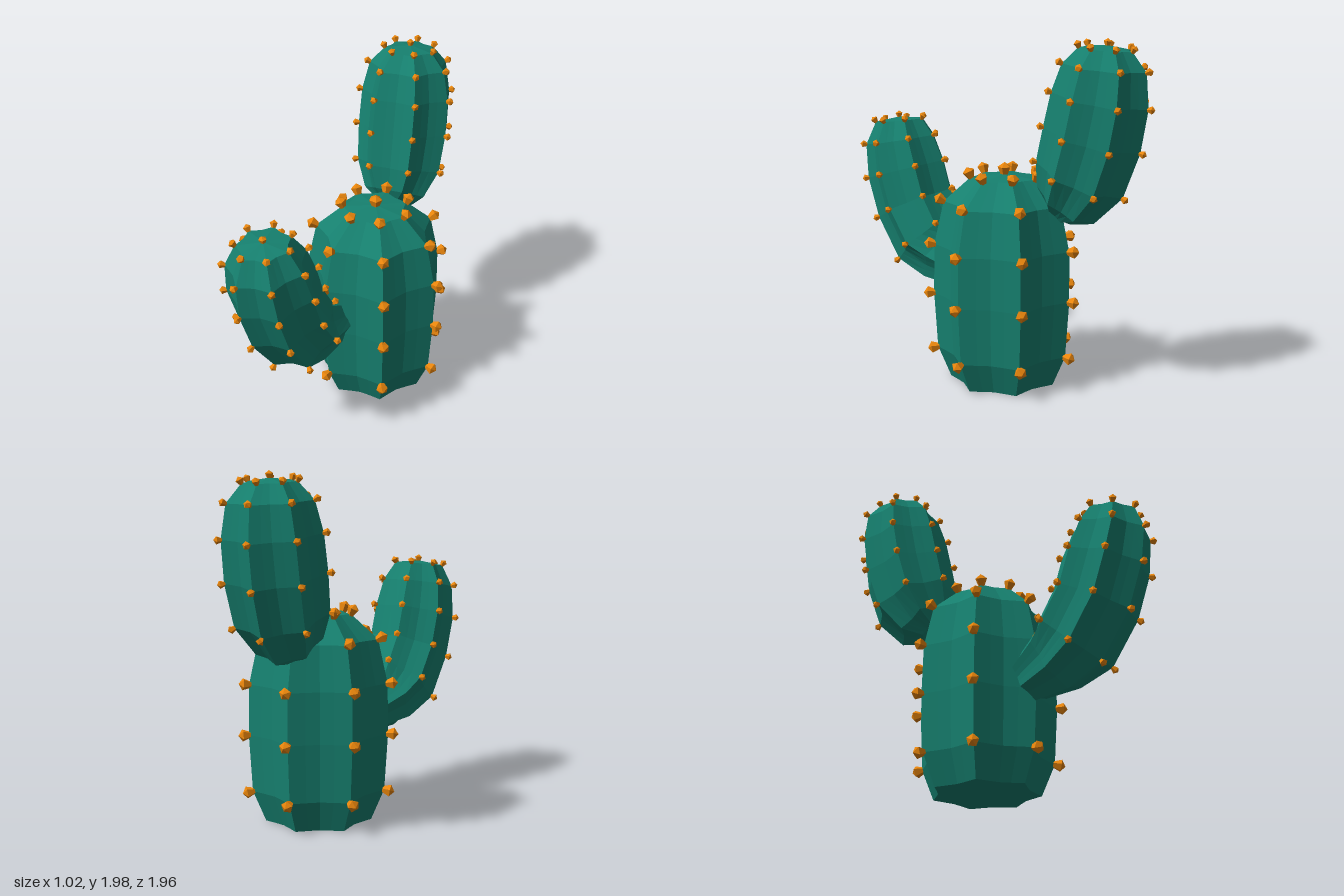
import * as THREE from 'three';
import { mergeGeometries } from 'three/addons/utils/BufferGeometryUtils.js';

const RIBS = 7, STEPS = 4, SIDES = RIBS * STEPS;
const green = new THREE.MeshStandardMaterial({ color: 0x16806f, flatShading: true });
const orange = new THREE.MeshStandardMaterial({ color: 0xe8850c, flatShading: true });

// Rings along a path: each row is [x, y, z, ridge radius]
function makeRings(rows, tip, turn) {
  const centres = rows.map(r => new THREE.Vector3(r[0], r[1], r[2]));
  const up = new THREE.Vector3(0, 1, 0);
  return rows.map((row, i) => {
    const before = centres[Math.max(i - 1, 0)];
    const after = centres[i + 1] ?? tip;
    const span = after.clone().sub(before);
    const axis = span.clone().normalize();
    const q = new THREE.Quaternion().setFromUnitVectors(up, axis);
    const grow = (rows[i + 1]?.[3] ?? 0) - rows[Math.max(i - 1, 0)][3];
    // outward direction in the plane of the ring
    const radial = step => {
      const a = -Math.PI / 2 + turn + (step / SIDES) * Math.PI * 2;
      return new THREE.Vector3(Math.cos(a), 0, Math.sin(a)).applyQuaternion(q);
    };
    return {
      point(step) {
        // sharp ridges with rounded grooves between them
        const groove = 1 - 0.17 * Math.sin(Math.PI * (step % STEPS) / STEPS);
        return radial(step).multiplyScalar(row[3] * groove).add(centres[i]);
      },
      normal: step => radial(step).multiplyScalar(span.length()).addScaledVector(axis, -grow).normalize(),
      centre: centres[i],
    };
  });
}

// Closed ribbed body skinned over the rings
function bodyGeometry(rings, tip) {
  const pos = [], index = [];
  rings.forEach(r => {
    for (let j = 0; j < SIDES; j++) pos.push(...r.point(j).toArray());
  });
  const bottom = rings.length * SIDES, top = bottom + 1, last = bottom - SIDES;
  pos.push(...rings[0].centre.toArray(), ...tip.toArray());
  for (let j = 0; j < SIDES; j++) {
    const k = (j + 1) % SIDES;
    for (let i = 0; i < rings.length - 1; i++) {
      const a = i * SIDES + j, b = i * SIDES + k;
      index.push(a, a + SIDES, b + SIDES, a, b + SIDES, b);
    }
    index.push(bottom, j, k, top, last + k, last + j);
  }
  const geo = new THREE.BufferGeometry();
  geo.setAttribute('position', new THREE.Float32BufferAttribute(pos, 3));
  geo.setIndex(index);
  geo.computeVertexNormals();
  return geo;
}

// Small faceted thorn that widens from the skin and ends in a blunt point
function thorn(at, normal, size, twist) {
  const profile = [[0, -0.01], [0.018, -0.01], [0.036, 0.035], [0, 0.06]].map(p => new THREE.Vector2(...p));
  const q = new THREE.Quaternion().setFromUnitVectors(new THREE.Vector3(0, 1, 0), normal);
  return new THREE.LatheGeometry(profile, 5)
    .rotateY(twist)
    .scale(size, size, size)
    .applyQuaternion(q)
    .translate(at.x, at.y, at.z);
}

function cactusPart(name, { rows, cap, turn = 0, firstThornRow, thornSize, tipSize }) {
  const group = new THREE.Group();
  group.name = name;
  const tip = new THREE.Vector3(...cap);
  const rings = makeRings(rows, tip, turn);

  const body = new THREE.Mesh(bodyGeometry(rings, tip), green);
  body.name = name + 'Body';

  // one thorn on every ridge of every upper ring, and one on the crown
  const thorns = [];
  rings.slice(firstThornRow).forEach((ring, i) => {
    for (let rib = 0; rib < RIBS; rib++) {
      const step = rib * STEPS;
      thorns.push(thorn(ring.point(step), ring.normal(step), thornSize, i * 1.3 + rib * 2.1));
    }
  });
  const crown = tip.clone().sub(rings.at(-2).centre).normalize();
  thorns.push(thorn(tip, crown, tipSize, 0.4));
  const thornMesh = new THREE.Mesh(mergeGeometries(thorns), orange);
  thornMesh.name = name + 'Thorns';

  group.add(body, thornMesh);
  return group;
}

export function createModel() {
  const model = new THREE.Group();
  model.name = 'cactus';

  model.add(cactusPart('trunk', {
    rows: [
      [0.065, 0, -0.12, 0.31],
      [0.065, 0.18, -0.12, 0.385],
      [0.065, 0.51, -0.12, 0.405],
      [0.065, 0.8, -0.12, 0.4],
      [0.065, 1.05, -0.12, 0.345],
      [0.065, 1.19, -0.12, 0.19],
    ],
    cap: [0.065, 1.21, -0.12],
    firstThornRow: 1, thornSize: 1, tipSize: 1.1,
  }));

  model.add(cactusPart('frontArm', {
    rows: [
      [-0.09, 0.57, 0.2, 0.14],
      [-0.15, 0.63, 0.37, 0.2],
      [-0.18, 0.71, 0.49, 0.245],
      [-0.21, 0.91, 0.62, 0.25],
      [-0.225, 1.12, 0.69, 0.25],
      [-0.23, 1.3, 0.735, 0.22],
      [-0.235, 1.42, 0.745, 0.15],
    ],
    cap: [-0.235, 1.44, 0.75], turn: -0.06,
    firstThornRow: 2, thornSize: 0.62, tipSize: 0.62,
  }));

  model.add(cactusPart('backArm', {
    rows: [
      [0.065, 1.03, -0.45, 0.1],
      [0.065, 1.08, -0.5, 0.19],
      [0.065, 1.23, -0.58, 0.26],
      [0.065, 1.45, -0.645, 0.275],
      [0.065, 1.66, -0.685, 0.268],
      [0.065, 1.83, -0.705, 0.23],
      [0.065, 1.925, -0.71, 0.145],
    ],
    cap: [0.065, 1.945, -0.715],
    firstThornRow: 2, thornSize: 0.62, tipSize: 0.62,
  }));

  return model;
}
